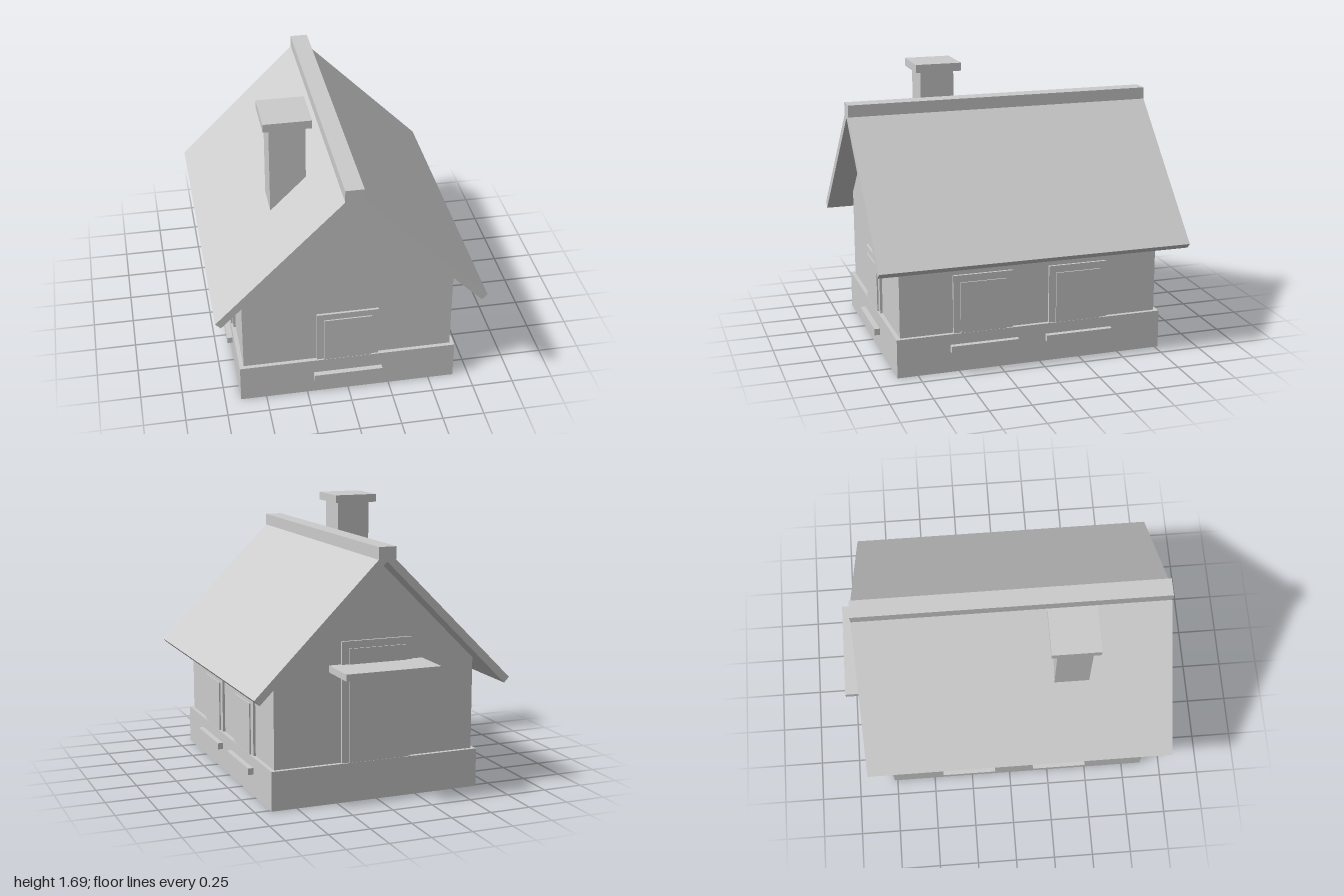
import * as THREE from 'three';

const gray = new THREE.MeshStandardMaterial({ color: 0xcccccc });
gray.name = 'plain gray';

export function createModel() {
  const house = new THREE.Group();
  house.name = 'house';

  // Box given by its minimum and maximum on each axis
  function box(name, x0, x1, y0, y1, z0, z1, parent = house) {
    const mesh = new THREE.Mesh(new THREE.BoxGeometry(x1 - x0, y1 - y0, z1 - z0), gray);
    mesh.position.set((x0 + x1) / 2, (y0 + y1) / 2, (z0 + z1) / 2);
    mesh.name = name;
    parent.add(mesh);
  }

  // Outline in x and y, drawn out along z
  function prism(name, points, z0, z1) {
    const shape = new THREE.Shape(points.map(([x, y]) => new THREE.Vector2(x, y)));
    const geometry = new THREE.ExtrudeGeometry(shape, { depth: z1 - z0, bevelEnabled: false });
    geometry.translate(0, 0, z0);
    const mesh = new THREE.Mesh(geometry, gray);
    mesh.name = name;
    house.add(mesh);
  }

  // Frame with a raised panel; built facing +z with the wall at z = 0
  function opening(name, frameWidth, frameTop, panelTop, sillWidth, sillY) {
    const group = new THREE.Group();
    group.name = name;
    const f = frameWidth / 2, p = f - 0.043, s = sillWidth / 2;
    box('frame', -f, f, 0.21, frameTop, -0.01, 0.015, group);
    box('panel', -p, p, 0.21, panelTop, -0.01, 0.0235, group);
    if (sillWidth) box('sill', -s, s, sillY, sillY + 0.04, 0, 0.058, group);
    house.add(group);
    return group;
  }

  // Foundation and gabled walls
  box('foundation', -0.655, 0.655, 0, 0.235, -0.77, 0.875);
  prism('walls', [[-0.63, 0.1], [0.63, 0.1], [0.63, 0.795], [0, 1.422], [-0.63, 0.795]], -0.745, 0.85);

  // Roof slabs and ridge
  prism('roof', [
    [-0.797, 0.692], [-0.765, 0.66], [0, 1.422], [0.765, 0.66], [0.797, 0.692], [0, 1.487],
  ], -0.895, 1);
  box('ridge', -0.055, 0.053, 1.435, 1.507, -0.895, 1);

  // Chimney
  box('chimney', -0.4, -0.188, 1.0, 1.64, 0.285, 0.495);
  box('chimneyCap', -0.437, -0.155, 1.64, 1.69, 0.245, 0.53);

  // Front window
  opening('frontWindow', 0.372, 0.565, 0.525, 0.415, 0.105).position.set(-0.003, 0, 0.85);

  // Side windows, two on each side
  for (const z of [0.3475, -0.2425]) {
    const left = opening('leftWindow', 0.365, 0.588, 0.545, 0.415, 0.13);
    left.position.set(0.63, 0, z);
    left.rotation.y = Math.PI / 2;
    const right = opening('rightWindow', 0.3, 0.588, 0.545, 0.34, 0.13);
    right.position.set(-0.63, 0, z - 0.025);
    right.rotation.y = -Math.PI / 2;
  }

  // Back door and its awning
  const door = opening('backDoor', 0.44, 0.955, 0.912, 0, 0);
  door.position.set(-0.003, 0, -0.745);
  door.rotation.y = Math.PI;
  box('awning', -0.297, 0.292, 0.78, 0.82, -1, -0.74);

  return house;
}
